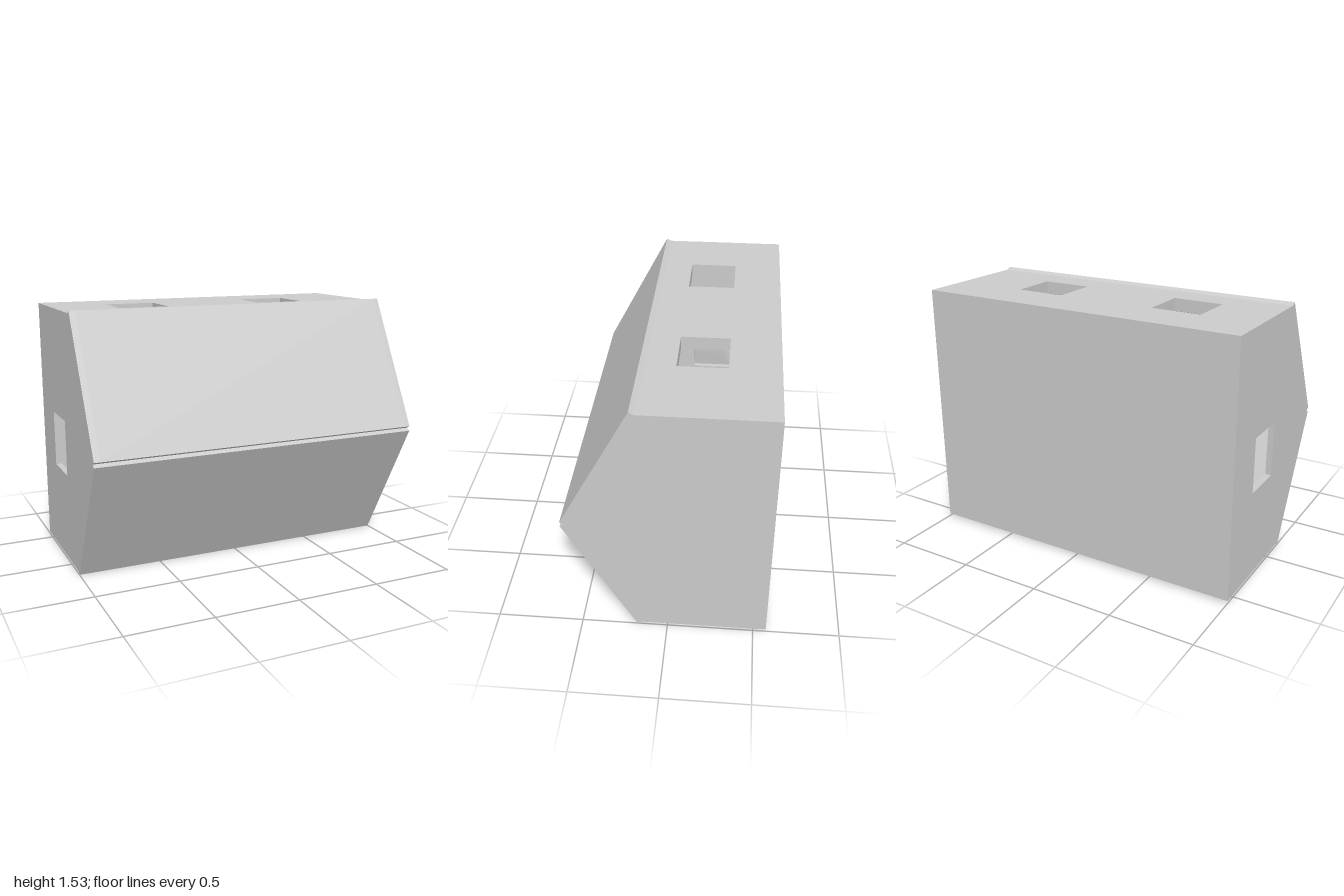
import * as THREE from 'three';

const WALL = 0.035; // wall thickness
const MID = 0.766;  // height of the front crease
const INNER = 1 - WALL;

const material = new THREE.MeshStandardMaterial({ color: 0xcccccc, flatShading: true });

const points = (list) => list.map(([x, y]) => new THREE.Vector2(x, y));
const rect = (x0, y0, x1, y1) => [[x0, y0], [x1, y0], [x1, y1], [x0, y1]];

// Flat outline with cut-outs, given a thickness.
function slab(outline, holes, depth) {
  const shape = new THREE.Shape(points(outline));
  for (const hole of holes) shape.holes.push(new THREE.Path(points(hole).reverse()));
  return new THREE.ExtrudeGeometry(shape, { depth, bevelEnabled: false });
}

// Outline drawn in (z, y), running from x towards -x.
const sidePanel = (outline, holes, depth, x) =>
  slab(outline, holes, depth).rotateY(-Math.PI / 2).translate(x, 0, 0);

// Outline drawn in (x, z), running from y downwards.
const flatPanel = (outline, holes, depth, y) =>
  slab(outline, holes, depth).rotateX(Math.PI / 2).translate(0, y, 0);

export function createModel() {
  const group = new THREE.Group();
  const add = (name, geometry) => {
    const mesh = new THREE.Mesh(geometry, material);
    mesh.name = name;
    group.add(mesh);
  };

  // End walls: pointed profile with small notches where the panels meet
  const profile = [
    [-0.575, 0.015], [0.147, 0.015], [0.175, 0], [0.575, 0.752], [0.549, MID],
    [0.575, 0.78], [0.175, 1.532], [0.147, 1.517], [-0.575, 1.517],
  ];
  add('leftEndWall', sidePanel(profile, [], WALL, 1));
  add('rightEndWall', sidePanel(profile, [rect(-0.295, 0.55, -0.02, 0.88)], WALL, -INNER));

  // Back wall
  add('backWall', sidePanel(rect(-0.575, 0.015, -0.575 + WALL, 1.517), [], 2 * INNER, INNER));

  // Roof with two square openings
  const deck = rect(-INNER, -0.575 + WALL, INNER, 0.147);
  add('roof', flatPanel(deck, [
    rect(-0.65, -0.295, -0.35, -0.02),
    rect(0.25, -0.295, 0.55, -0.02),
  ], 0.075, 1.517));

  // Floor with one long and one wide opening
  add('floor', flatPanel(deck, [
    rect(-0.2, -0.515, 0.04, -0.02),
    rect(-0.75, -0.295, -0.4, -0.02),
  ], 0.04, 0.055));

  // Sloping front panels, mirrored about the crease
  const normal = new THREE.Vector2(0.752, 0.4).normalize().multiplyScalar(WALL);
  const upper = [
    [0.575, 0.78], [0.175, 1.532],
    [0.175 - normal.x, 1.532 - normal.y], [0.575 - normal.x, 0.78 - normal.y],
  ];
  const lower = upper.map(([z, y]) => [z, 2 * MID - y]).reverse();
  add('upperFrontPanel', sidePanel(upper, [], 2 * INNER, INNER));
  add('lowerFrontPanel', sidePanel(lower, [], 2 * INNER, INNER));

  return group;
}
